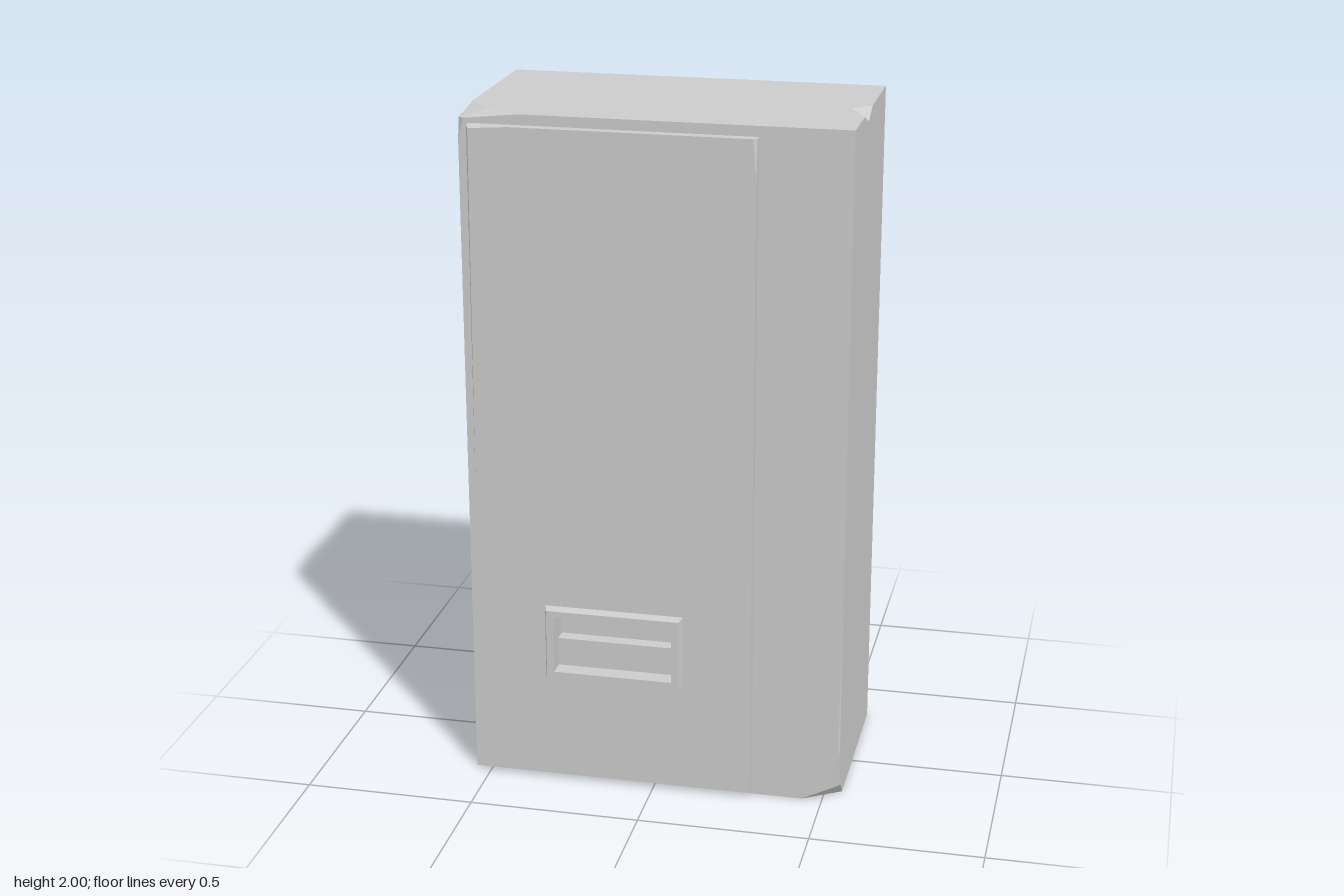
import * as THREE from 'three';

const material = new THREE.MeshStandardMaterial({ color: 0xcccccc, flatShading: true });

function makeMesh(name, positions) {
  const geometry = new THREE.BufferGeometry();
  geometry.setAttribute('position', new THREE.Float32BufferAttribute(positions, 3));
  geometry.computeVertexNormals();
  const mesh = new THREE.Mesh(geometry, material);
  mesh.name = name;
  return mesh;
}

// Solid from named corners; each face is a string of corner keys, turned away from the centre.
function solid(name, corners, faces, centre, holes = {}) {
  const out = [];
  const v = {};
  for (const k in corners) v[k] = new THREE.Vector3(...corners[k]);
  for (const face of faces) {
    const ring = [...face].map((k) => v[k]);
    const hole = (holes[face] || []).map((p) => new THREE.Vector3(...p));
    const normal = new THREE.Vector3();
    ring.forEach((p, i) => normal.add(new THREE.Vector3().crossVectors(p, ring[(i + 1) % ring.length])));
    const [ax, ay, az] = normal.toArray().map(Math.abs);
    const flat = (p) => (az >= ax && az >= ay ? new THREE.Vector2(p.x, p.y)
      : ax >= ay ? new THREE.Vector2(p.y, p.z) : new THREE.Vector2(p.z, p.x));
    const all = [...ring, ...hole];
    const tris = THREE.ShapeUtils.triangulateShape(ring.map(flat), hole.length ? [hole.map(flat)] : []);
    for (const t of tris) {
      const [a, b, c] = t.map((i) => all[i]);
      const n = b.clone().sub(a).cross(c.clone().sub(a));
      const order = n.dot(a.clone().sub(centre)) >= 0 ? [a, b, c] : [a, c, b];
      order.forEach((p) => out.push(p.x, p.y, p.z));
    }
  }
  return makeMesh(name, out);
}

const rect = (x0, x1, y0, y1, z) => [[x0, y0, z], [x1, y0, z], [x1, y1, z], [x0, y1, z]];

// Skin between successive rectangular rings
function loft(name, rings) {
  const out = [];
  for (let r = 0; r + 1 < rings.length; r++) {
    for (let i = 0; i < 4; i++) {
      const j = (i + 1) % 4, a = rings[r], b = rings[r + 1];
      out.push(...a[i], ...a[j], ...b[j], ...a[i], ...b[j], ...b[i]);
    }
  }
  const e = rings[rings.length - 1];
  out.push(...e[0], ...e[1], ...e[2], ...e[0], ...e[2], ...e[3]);
  return makeMesh(name, out);
}

export function createModel() {
  const group = new THREE.Group();
  group.name = 'cabinet';
  const opening = (z) => rect(-0.29, 0.06, 0.36, 0.535, z);

  // Cabinet body with two chipped corners and a nick in the top edge
  const body = {
    p: [-0.55, 2, -0.32], q: [0.55, 2, -0.32], r: [0.55, 0, -0.32], s: [-0.55, 0, -0.32],
    t: [0.55, 2, 0.27], u: [-0.55, 0, 0.27],
    // upper corner chip
    A: [-0.55, 2, 0.12], B: [-0.49, 2, 0.215], C: [-0.375, 2, 0.27],
    D: [-0.535, 1.983, 0.27], E: [-0.55, 1.92, 0.27], F: [-0.55, 1.983, 0.258],
    // lower corner chip
    I: [0.44, 0, 0.27], J: [0.52, 0.04, 0.27], K: [0.545, 0.16, 0.27], L: [0.55, 0.62, 0.27],
    M: [0.55, 0.16, 0.265], N: [0.55, 0.04, 0.235], O: [0.55, 0, 0.2],
    // edge nick
    w: [0.55, 2, -0.05], x: [0.5, 2, 0], y: [0.55, 2, 0.1], z: [0.55, 1.97, 0.015],
  };
  const bodyFront = 'CDEuIJKLt';
  group.add(solid('body', body, [
    'pqwxytCBA', bodyFront, 'tLMNOrqwzy', 'pAFEus', 'pqrs', 'suIOr',
    'ABF', 'BCD', 'BDF', 'DEF', 'LKM', 'KJNM', 'JION', 'wxz', 'xyz',
  ], new THREE.Vector3(0, 1, 0), { [bodyFront]: opening(0.27) }));

  // Door panel with worn upper corners
  const door = {
    a: [-0.52, 0.02, 0.27], b: [0.29, 0.02, 0.27], c: [0.29, 1.97, 0.27], d: [-0.52, 1.97, 0.27],
    e: [-0.52, 0.02, 0.3], f: [0.29, 0.02, 0.3],
    g: [0.29, 1.85, 0.3], h: [0.28, 1.97, 0.3], i: [0.29, 1.97, 0.288],
    j: [-0.4, 1.97, 0.3], k: [-0.514, 1.962, 0.3], l: [-0.52, 0.9, 0.3], m: [-0.52, 1.97, 0.29],
  };
  const doorFront = 'efghjkl';
  group.add(solid('door', door, [doorFront, 'abfe', 'bfgic', 'cihjmd', 'aelmd', 'ghi', 'jkm', 'klm'],
    new THREE.Vector3(-0.115, 1, 0.28), { [doorFront]: opening(0.3) }));

  // Bevelled handle frame running into the recessed pocket
  group.add(loft('handleFrame', [
    rect(-0.32, 0.09, 0.335, 0.56, 0.3),
    rect(-0.312, 0.082, 0.343, 0.552, 0.322),
    opening(0.322),
    opening(0.23),
  ]));

  // Step in the lower half of the pocket
  const step = new THREE.Mesh(new THREE.BoxGeometry(0.35, 0.085, 0.04), material);
  step.position.set(-0.115, 0.4025, 0.25);
  step.name = 'handleStep';
  group.add(step);

  return group;
}
